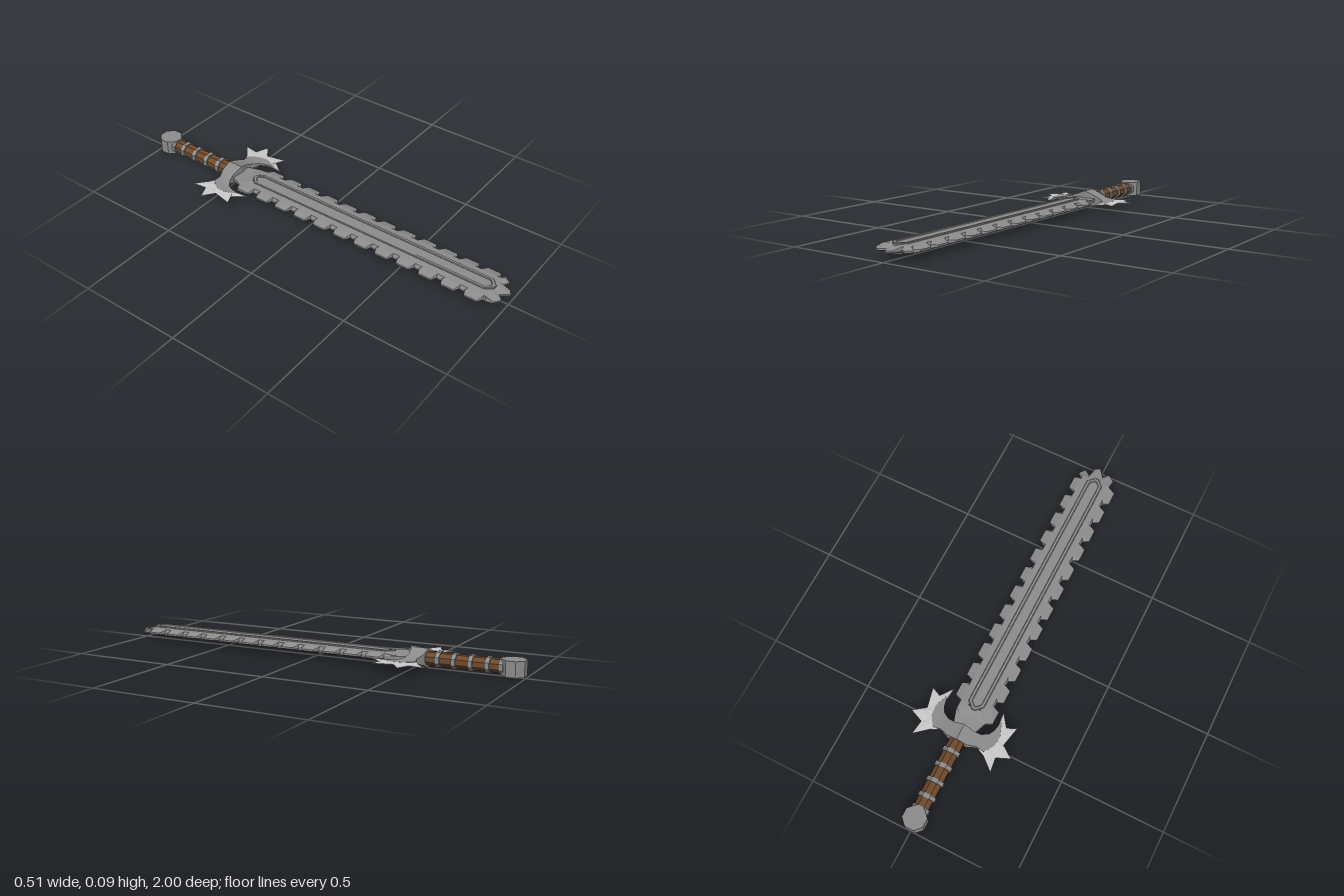
import * as THREE from 'three';

const MID = 0.047; // height of the sword's flat middle plane

const makeMat = (name, color) => {
  const m = new THREE.MeshStandardMaterial({ color, flatShading: true, side: THREE.DoubleSide });
  m.name = name;
  return m;
};

// Skins a row of closed cross-sections, facing outwards
function loft(sections, closed = false) {
  const n = sections[0].length, rows = sections.length, pos = sections.flat(2), idx = [];
  for (let i = 0; i < (closed ? rows : rows - 1); i++) {
    for (let j = 0; j < n; j++) {
      const a = i * n + j, b = i * n + (j + 1) % n;
      const k = ((i + 1) % rows) * n, c = k + j, d = k + (j + 1) % n;
      idx.push(a, b, d, a, d, c);
    }
  }
  const p = i => new THREE.Vector3().fromArray(pos, i * 3);
  let volume = 0;
  for (let t = 0; t < idx.length; t += 3) volume += p(idx[t]).dot(p(idx[t + 1]).cross(p(idx[t + 2])));
  if (volume < 0) idx.reverse();
  const g = new THREE.BufferGeometry();
  g.setAttribute('position', new THREE.Float32BufferAttribute(pos, 3));
  g.setIndex(idx);
  const flat = g.toNonIndexed();
  flat.computeVertexNormals();
  return flat;
}

// Plan outline of the saw-toothed blade, going down +x and back up -x
function bladeOutline() {
  const teeth = (sign, start, step, count) => {
    const pts = [];
    for (let k = 0; k < count; k++) {
      const z = start + step * k;
      pts.push([sign * 0.078, z - 0.045], [sign * 0.108, z - 0.032],
        [sign * 0.108, z + 0.032], [sign * 0.078, z + 0.045]);
    }
    return pts;
  };
  const tip = [[0.1, 0.93], [0.076, 0.96], [0.045, 0.94], [0.035, 0.985], [0.012, 1],
    [-0.018, 0.96], [-0.042, 0.985], [-0.075, 0.962], [-0.07, 0.925]];
  return [[0.053, -0.49], [0.075, -0.42], ...teeth(1, -0.33, 0.109, 12), ...tip,
    ...teeth(-1, -0.382, 0.114, 12).reverse(), [-0.053, -0.49]];
}

// Elongated panel shape with chamfered ends
function panelShape(w, z0, z1, cls = THREE.Shape) {
  const c = w * 0.8;
  const pts = [[-w, z0 + c], [-w + c, z0], [w - c, z0], [w, z0 + c],
    [w, z1 - c], [w - c, z1], [-w + c, z1], [-w, z1 - c]];
  return new cls(pts.map(([x, z]) => new THREE.Vector2(x, z)));
}

// Extrudes a plan shape evenly above and below the middle plane
function slab(shape, half, bevel = 0) {
  const g = new THREE.ExtrudeGeometry(shape, {
    depth: 2 * (half - bevel), bevelEnabled: bevel > 0, bevelSize: bevel,
    bevelThickness: bevel, bevelSegments: 1,
  });
  g.translate(0, 0, -(half - bevel));
  g.rotateX(Math.PI / 2);
  return g;
}

export function createModel() {
  const root = new THREE.Group();
  root.name = 'sword';
  const steel = makeMat('steel', 0x8c8c8c);
  const bright = makeMat('brightSteel', 0xc8c8c8);
  const leather = makeMat('brownLeather', 0x704a2c);
  const add = (name, geo, mat, z = 0) => {
    const m = new THREE.Mesh(geo, mat);
    m.name = name;
    m.position.set(0, MID, z);
    root.add(m);
    return m;
  };

  // Blade: thin toothed edge rising to a thicker body
  const clamp = THREE.MathUtils.clamp;
  add('blade', loft(bladeOutline().map(([x, z]) => {
    const e = z < -0.41 ? 0.008 : 0.004;
    const x1 = clamp(x, -0.072, 0.072), z1 = clamp(z, -0.43, 0.925);
    const x2 = clamp(x, -0.03, 0.03), z2 = clamp(z, -0.385, 0.905);
    const h = z < -0.41 ? 0.011 : 0.015;
    return [[x2, 0.019, z2], [x1, h, z1], [x, e, z], [x, -e, z], [x1, -h, z1], [x2, -0.019, z2]];
  }), true), steel);

  // Central panel with a raised rim
  const rim = panelShape(0.037, -0.393, 0.928);
  rim.holes.push(panelShape(0.026, -0.38, 0.915, THREE.Path));
  add('panelRim', slab(rim, 0.0235, 0.003), steel);
  add('panelFloor', slab(panelShape(0.032, -0.388, 0.923), 0.0195), steel);

  // Guard stations: back x, z, front x, z, half height
  const guard = [
    [0, -0.555, 0, -0.478, 0.044], [0.05, -0.555, 0.05, -0.485, 0.025],
    [0.09, -0.54, 0.085, -0.48, 0.012], [0.13, -0.545, 0.115, -0.46, 0.006],
    [0.16, -0.5, 0.128, -0.435, 0.005], [0.165, -0.45, 0.133, -0.41, 0.005],
    [0.142, -0.39, 0.135, -0.395, 0.004],
  ];
  // Spiked edge stations: outer x, z, inner x, z
  const spikes = [
    [0.09, -0.54, 0.09, -0.538], [0.135, -0.56, 0.13, -0.545], [0.2, -0.615, 0.14, -0.53],
    [0.19, -0.545, 0.15, -0.515], [0.254, -0.518, 0.16, -0.5], [0.196, -0.476, 0.163, -0.47],
    [0.217, -0.38, 0.165, -0.45], [0.172, -0.4, 0.15, -0.41], [0.127, -0.34, 0.142, -0.39],
    [0.132, -0.4, 0.135, -0.395],
  ];
  const box = (s, xa, za, ha, xb, zb, hb) =>
    [[s * xa, ha, za], [s * xb, hb, zb], [s * xb, -hb, zb], [s * xa, -ha, za]];
  for (const [s, side] of [[1, 'left'], [-1, 'right']]) {
    add(side + 'Guard', loft(guard.map(([a, b, c, d, h]) => box(s, a, b, h, c, d, h))), steel);
    add(side + 'GuardSpikes', loft(spikes.map(([a, b, c, d]) => box(s, a, b, 0.001, c, d, 0.0045))), bright);
  }

  // Grip: leather core with metal bands
  const tube = (r0, r1, len) => {
    const g = new THREE.CylinderGeometry(r0, r1, len, 8);
    g.rotateY(Math.PI / 8);
    g.rotateX(Math.PI / 2);
    g.scale(1, 0.85, 1);
    return g;
  };
  add('grip', tube(0.037, 0.037, 0.38), leather, -0.725);
  for (const z of [-0.61, -0.685, -0.762, -0.838, -0.9]) {
    add('gripBand', tube(0.044, 0.044, 0.02), steel, z);
  }

  // Pommel: upright eight-sided drum
  const pommel = new THREE.CylinderGeometry(0.0565, 0.0565, 0.071, 8);
  pommel.rotateY(Math.PI / 8);
  add('pommel', pommel, steel, -0.948);

  return root;
}
